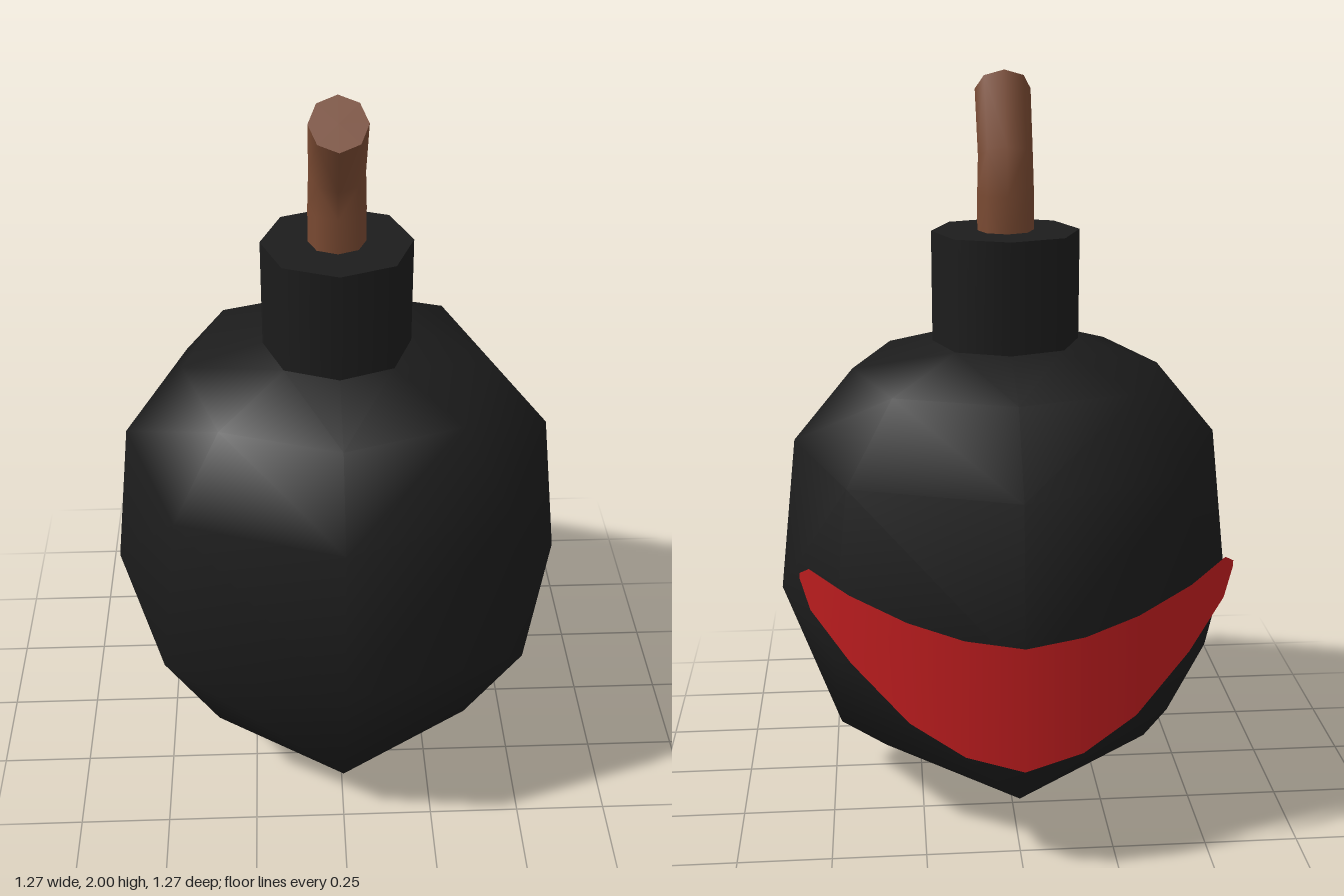
import * as THREE from 'three';
import { mergeVertices } from 'three/addons/utils/BufferGeometryUtils.js';

const SIDES = 8;

// Surface through rows of points; rows run left to right seen from outside, bottom row first
function skin(rows, closed) {
  const n = rows[0].length;
  const index = [];
  const span = closed ? n : n - 1;
  for (let r = 0; r < rows.length - 1; r++) {
    for (let k = 0; k < span; k++) {
      const a = r * n + k, b = r * n + (k + 1) % n;
      const c = b + n, d = a + n;
      // alternate the diagonal so the facets mirror
      if (k % 2) index.push(a, b, d, b, c, d);
      else index.push(a, b, c, a, c, d);
    }
  }
  const geometry = new THREE.BufferGeometry();
  geometry.setAttribute('position', new THREE.Float32BufferAttribute(rows.flat(2), 3));
  geometry.setIndex(index);
  const welded = mergeVertices(geometry, 1e-4);
  welded.computeVertexNormals();
  return welded;
}

// Eight-sided ring: reach and height on the axes, reach (per axis) and height on the diagonals
function ring(axis, axisY, diagonal = axis * Math.SQRT1_2, diagonalY = axisY) {
  return Array.from({ length: SIDES }, (_, k) => {
    const a = (k * Math.PI) / 4;
    const odd = k % 2;
    const r = odd ? diagonal * Math.SQRT2 : axis;
    return [r * Math.sin(a), odd ? diagonalY : axisY, r * Math.cos(a)];
  });
}

// Fuse ring: centre in the y-z plane, tilted towards the front
function tiltedRing(y, z, radius, tilt) {
  return ring(radius, 0).map(([px, , pz]) => [px, y - pz * Math.sin(tilt), z + pz * Math.cos(tilt)]);
}

export function createModel() {
  const group = new THREE.Group();
  const black = new THREE.MeshStandardMaterial({ color: 0x1c1c1c });
  const brown = new THREE.MeshStandardMaterial({ color: 0x7a4a32 });
  const red = new THREE.MeshStandardMaterial({ color: 0xc41e20, side: THREE.DoubleSide });

  const add = (name, rows, material, closed = true) => {
    const mesh = new THREE.Mesh(skin(rows, closed), material);
    mesh.name = name;
    group.add(mesh);
  };

  // Rounded body, like a coarse ball with a pointed underside
  add('body', [
    ring(0, 0),
    ring(0.48, 0.145, 0.35, 0.25),
    ring(0.635, 0.575, 0.48),
    ring(0.585, 1.01, 0.435),
    ring(0.42, 1.21, 0.315),
    ring(0.2, 1.285, 0.145),
  ], black);

  // Neck and its flat top
  add('neck', [ring(0.2, 1.27, 0.145), ring(0.2, 1.585, 0.145)], black);
  add('neckTop', [ring(0.2, 1.585, 0.145), ring(0, 1.585)], black);

  // Bent fuse with a flat tip
  const tip = [1.948, 0.1];
  const bend = Math.PI / 4;
  add('fuse', [
    tiltedRing(1.56, 0, 0.076, 0),
    tiltedRing(1.68, 0, 0.076, 0.04),
    tiltedRing(1.782, 0.006, 0.073, 0.4),
    tiltedRing(...tip, 0.075, bend),
  ], brown);
  add('fuseTip', [tiltedRing(...tip, 0.075, bend), tiltedRing(...tip, 0, bend)], brown);

  // Crescent smile on the back: x, z, lower y, upper y for one half
  const half = [
    [0, -0.638, 0.31, 0.65],
    [0.15, -0.622, 0.35, 0.67],
    [0.29, -0.58, 0.43, 0.705],
    [0.435, -0.51, 0.57, 0.755],
    [0.535, -0.442, 0.69, 0.802],
    [0.56, -0.425, 0.77, 0.785],
  ];
  const mirrored = half.slice(1).map(([x, ...rest]) => [-x, ...rest]);
  const columns = [...half.slice().reverse(), ...mirrored];
  add('smile', [
    columns.map(([x, z, low]) => [x, low, z]),
    columns.map(([x, z, , high]) => [x, high, z]),
  ], red, false);

  return group;
}
